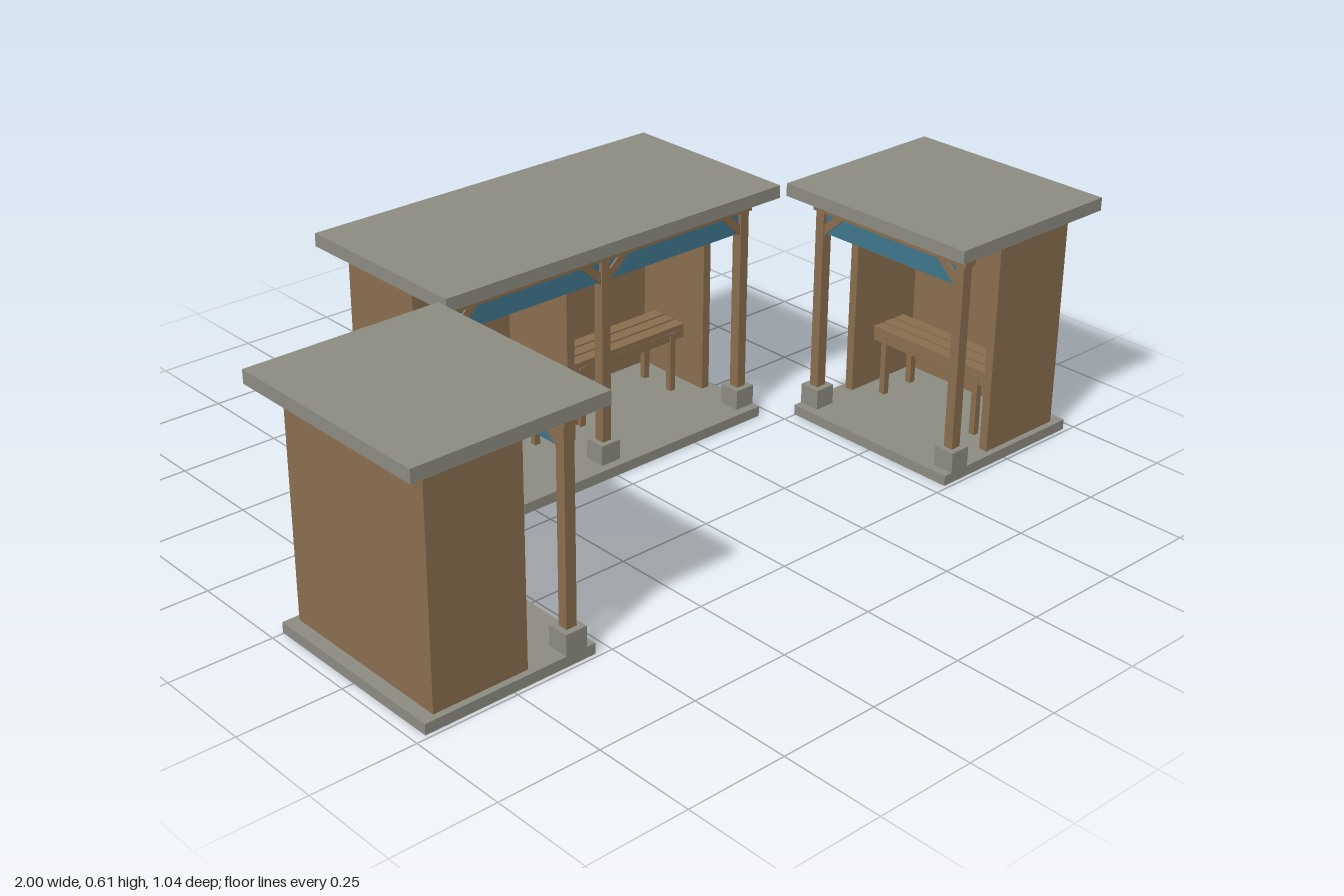
import * as THREE from 'three';

const wood = new THREE.MeshStandardMaterial({ color: 0x8a6e4f });
wood.name = 'wood brown';
const stone = new THREE.MeshStandardMaterial({ color: 0x8c8c82 });
stone.name = 'stone grey';
const blue = new THREE.MeshStandardMaterial({ color: 0x3f778c });
blue.name = 'panel blue';

const BAY = 0.4375;     // post spacing
const POST_Z = -0.105;  // line of the posts
const FLOOR = 0.026, CEILING = 0.577, BEAM = 0.539;

// box given by its lower and upper limits on each axis
function box(parent, name, mat, [x0, x1], [y0, y1], [z0, z1]) {
  const mesh = new THREE.Mesh(new THREE.BoxGeometry(x1 - x0, y1 - y0, z1 - z0), mat);
  mesh.position.set((x0 + x1) / 2, (y0 + y1) / 2, (z0 + z1) / 2);
  mesh.name = name;
  parent.add(mesh);
  return mesh;
}
const around = (c, half) => [c - half, c + half];

// slatted bench without a back
function bench(cx) {
  const g = new THREE.Group();
  g.name = 'bench';
  const z0 = -0.375, z1 = -0.262, half = 0.185;
  const slats = 3, step = (z1 - z0) / slats;
  for (let i = 0; i < slats; i++) {
    const z = z0 + step * (i + 0.5);
    box(g, 'seatSlat', wood, around(0, half), [0.184, 0.198], around(z, step / 2 - 0.003));
  }
  for (const z of [z0 + 0.008, z1 - 0.008]) {
    box(g, 'apron', wood, around(0, half - 0.002), [0.162, 0.184], around(z, 0.006));
    for (const s of [-1, 1])
      box(g, 'benchLeg', wood, around(s * 0.147, 0.008), [FLOOR, 0.184], around(z, 0.008));
  }
  for (const s of [-1, 1])
    box(g, 'crossRail', wood, around(s * 0.147, 0.006), [0.164, 0.184], [z0 + 0.01, z1 - 0.01]);
  g.position.x = cx;
  return g;
}

// diagonal brace from a post up to the beam; dir is the side it leans to
const braceShape = new THREE.Shape([[0, -0.058], [0.062, 0], [0.034, 0], [0, -0.03]]
  .map(([x, y]) => new THREE.Vector2(x, y)));
const braceGeometry = new THREE.ExtrudeGeometry(braceShape, { depth: 0.02, bevelEnabled: false });
braceGeometry.translate(0, 0, -0.01);
function brace(x, dir) {
  const mesh = new THREE.Mesh(braceGeometry, wood);
  mesh.name = 'brace';
  mesh.position.set(x + dir * 0.0125, BEAM, POST_Z);
  if (dir < 0) mesh.rotation.y = Math.PI;
  return mesh;
}

// open-fronted shelter facing +z with the given number of bays
function shelter(name, bays) {
  const g = new THREE.Group();
  g.name = name;
  const span = bays * BAY / 2, half = span + 0.0275, wall = half - 0.016, t = 0.022;

  box(g, 'floorSlab', stone, around(0, half), [0, FLOOR], [-0.49, -0.055]);
  box(g, 'roof', stone, around(0, half + 0.03), [CEILING, 0.609], [-0.518, -0.034]);

  // walls
  box(g, 'backWall', wood, around(0, wall), [FLOOR, CEILING], [-0.458, -0.458 + t]);
  for (const s of [-1, 1])
    box(g, 'sideWall', wood, around(s * (wall - t / 2), t / 2), [FLOOR, CEILING], [-0.458 + t, -0.22]);
  for (let i = 1; i < bays; i++)
    box(g, 'dividerWall', wood, around(-span + i * BAY, t / 2), [FLOOR, CEILING], [-0.458 + t, -0.22]);

  // beam, posts and footings
  box(g, 'beam', wood, around(0, half - 0.008), [BEAM, CEILING], around(POST_Z, 0.0165));
  for (let i = 0; i <= bays; i++) {
    const x = -span + i * BAY;
    box(g, 'footing', stone, around(x, 0.0275), [FLOOR, 0.077], around(POST_Z, 0.0275));
    box(g, 'post', wood, around(x, 0.0125), [0.077, BEAM], around(POST_Z, 0.0135));
    if (i > 0) g.add(brace(x, -1));
    if (i < bays) g.add(brace(x, 1));
  }

  // hanging panel and bench in each bay
  for (let i = 0; i < bays; i++) {
    const cx = -span + (i + 0.5) * BAY;
    box(g, 'hangingPanel', blue, around(cx, BAY / 2 - 0.0125), [0.484, BEAM], around(POST_Z, 0.004));
    g.add(bench(cx));
  }
  return g;
}

export function createModel() {
  const model = new THREE.Group();
  model.name = 'shelters';
  model.add(shelter('middleShelter', 2));
  // side shelters turn their open fronts to the middle
  for (const s of [-1, 1]) {
    const side = shelter(s < 0 ? 'rightShelter' : 'leftShelter', 1);
    side.rotation.y = -s * Math.PI / 2;
    side.position.set(s * 0.482, 0, 0.2435);
    model.add(side);
  }
  return model;
}
